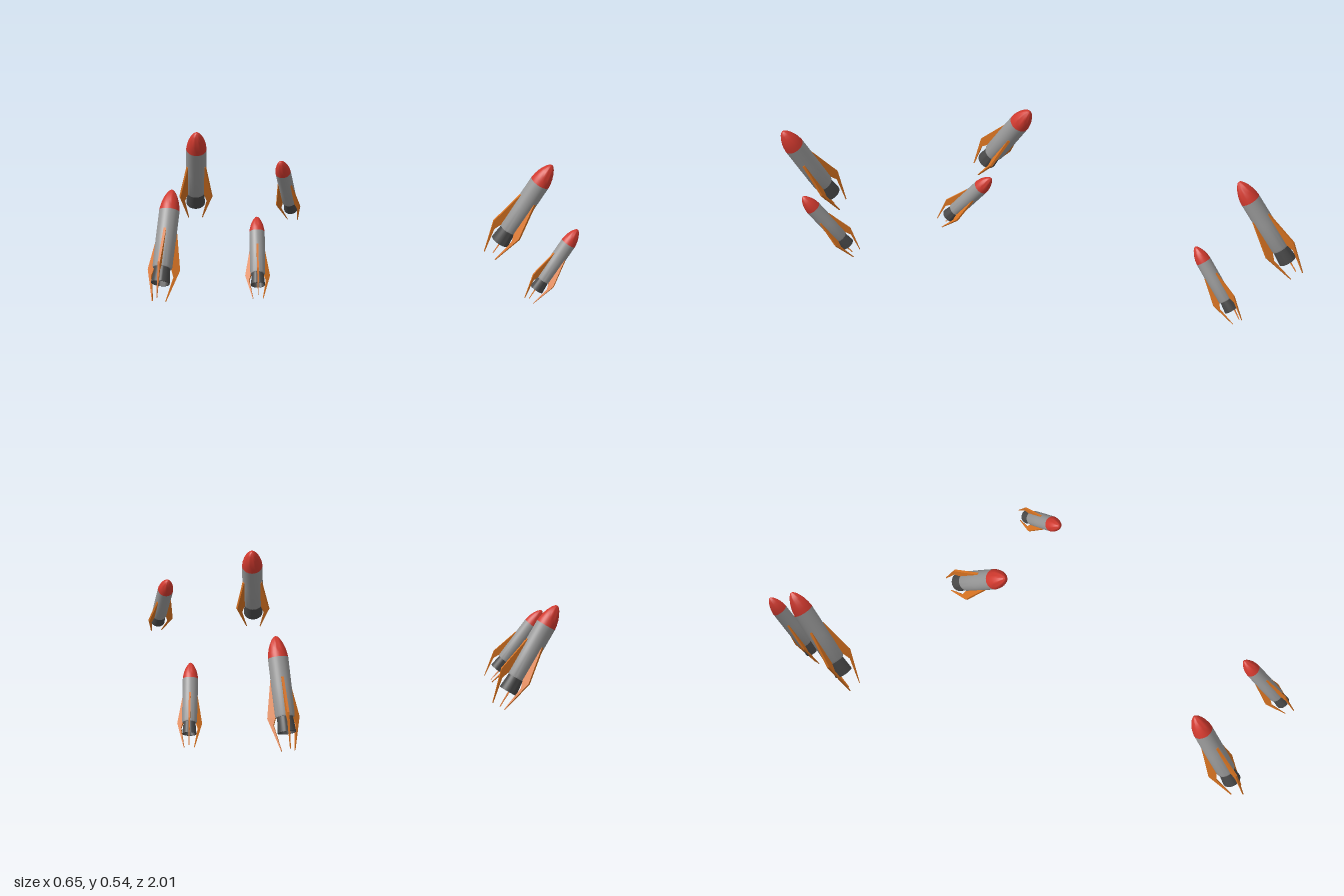
import * as THREE from 'three';
import { toCreasedNormals } from 'three/addons/utils/BufferGeometryUtils.js';

const paint = (color) => new THREE.MeshStandardMaterial({ color });
const bodyPaint = paint(0x999999);
const nosePaint = paint(0xd0392e);
const finPaint = paint(0xd97422);
const nozzlePaint = paint(0x4a4a4a);

// Turned part from [radius, height] pairs, listed so the outside runs upwards
function turned(name, profile, material) {
  const points = profile.map(([r, y]) => new THREE.Vector2(r, y));
  const geometry = toCreasedNormals(new THREE.LatheGeometry(points, 32), 0.6);
  const mesh = new THREE.Mesh(geometry, material);
  mesh.name = name;
  return mesh;
}

// Swept fin plate, thinning towards its foot
function finGeometry() {
  const outline = [[0.042, 0.295], [0.042, 0.095], [0.052, 0.092], [0.069, 0.05],
    [0.04, -0.094], [0.044, -0.094], [0.099, 0.091], [0.056, 0.295]];
  const shape = new THREE.Shape(outline.map(([r, y]) => new THREE.Vector2(r, y)));
  const geometry = new THREE.ExtrudeGeometry(shape, { depth: 1, bevelEnabled: false });
  geometry.translate(0, 0, -0.5);
  const p = geometry.attributes.position;
  for (let i = 0; i < p.count; i++) {
    const up = (p.getY(i) + 0.094) / 0.389;
    p.setZ(i, p.getZ(i) * THREE.MathUtils.lerp(0.005, 0.014, Math.min(1, up * 1.6)));
  }
  geometry.computeVertexNormals();
  return geometry;
}

// One rocket: origin at the nozzle mouth, nose along +y, first fin towards +z
function makeRocket(name) {
  const rocket = new THREE.Group();
  rocket.name = name;
  rocket.add(
    turned('body', [[0, 0.085], [0.05, 0.085], [0.053, 0.095], [0.0545, 0.25], [0.0545, 0.407]], bodyPaint),
    turned('noseCone', [[0.0545, 0.407], [0.0515, 0.432], [0.0455, 0.458], [0.036, 0.484],
      [0.024, 0.507], [0.011, 0.523], [0, 0.528]], nosePaint),
    turned('nozzle', [[0, 0.08], [0.037, 0.08], [0.045, 0], [0.05, 0], [0.05, 0.006], [0.042, 0.09]], nozzlePaint),
  );
  const geometry = finGeometry();
  for (let i = 0; i < 3; i++) {
    const fin = new THREE.Mesh(geometry, finPaint);
    fin.name = 'fin' + (i + 1);
    fin.rotation.y = -Math.PI / 2 + (i * Math.PI * 2) / 3;
    rocket.add(fin);
  }
  return rocket;
}

export function createModel() {
  const model = new THREE.Group();
  model.name = 'rocketSet';
  const kinds = [
    { name: 'largeRocket', at: [-0.249, 0.096, 0.916], lean: 0.559, yaw: -0.122, size: 1 },
    { name: 'smallRocket', at: [0.268, 0.087, 0.86], lean: 0.65, yaw: 0.13, size: 0.75 },
  ];
  // Each kind appears at the front and mirrored at the back, leaning inwards
  for (const { name, at: [x, y, z], lean, yaw, size } of kinds) {
    for (const side of [1, -1]) {
      const rocket = makeRocket(name + (side > 0 ? 'Front' : 'Back'));
      rocket.position.set(x, y, z * side);
      rocket.rotation.set(-lean, side > 0 ? yaw : Math.PI - yaw, 0, 'YXZ');
      rocket.scale.setScalar(size);
      model.add(rocket);
    }
  }
  return model;
}
